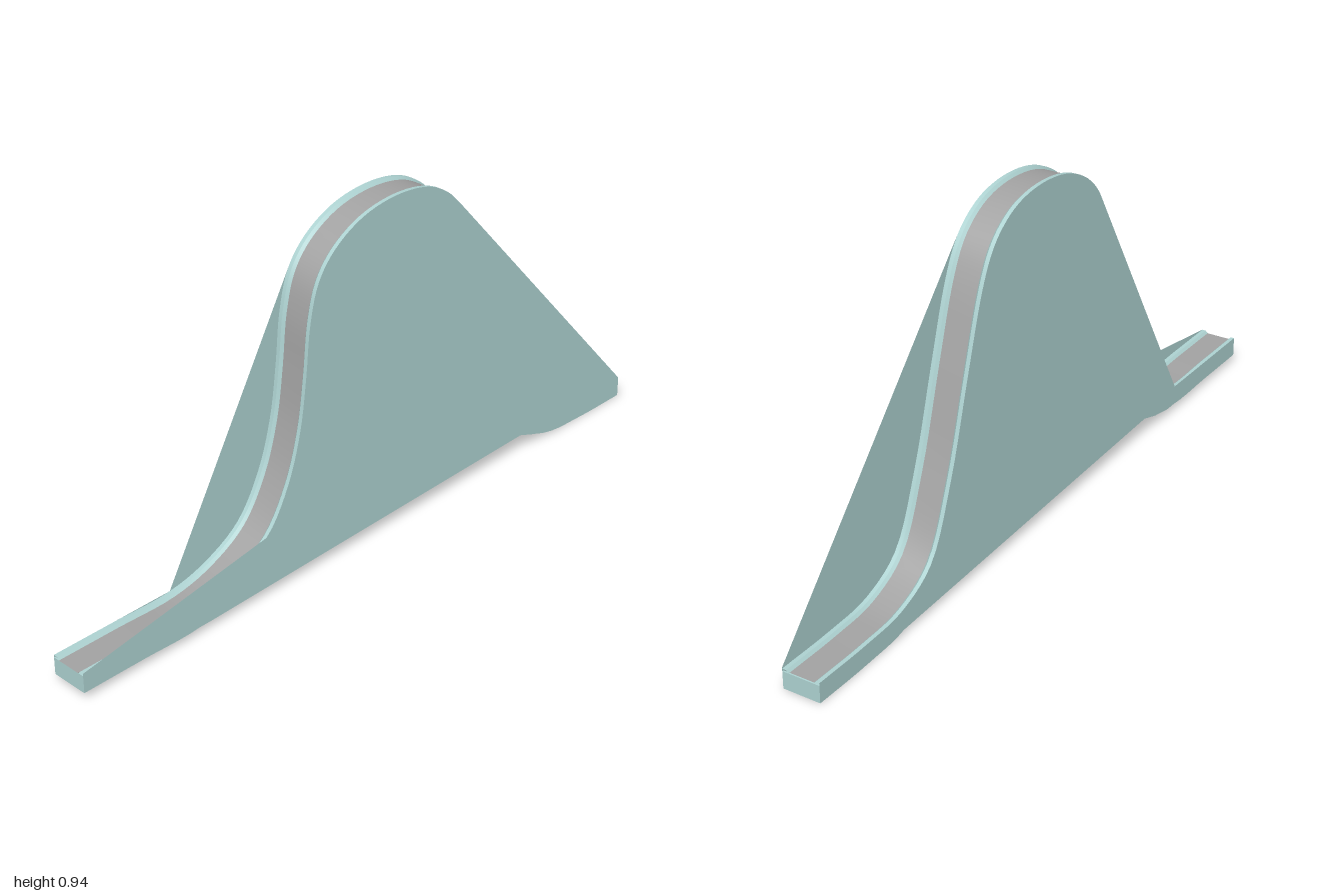
import * as THREE from 'three';

const W = 0.053;        // half width of the whole slide
const LIP = 0.042;      // inner edge of the rail top
const BED = 0.035;      // half width of the sliding surface
const DEPTH = 0.007;    // depth of the trough
const THICK = 0.055;    // thickness of the chute

// Side profile of the rail tops as [z, y], from the front end to the back end
const PROFILE = [
  [1, 0.075], [0.82, 0.075], [0.64, 0.075], [0.52, 0.105], [0.41, 0.17], [0.335, 0.285],
  [0.29, 0.42], [0.267, 0.56], [0.25, 0.7], [0.22, 0.8], [0.165, 0.867], [0.07, 0.92],
  [-0.05, 0.94], [-0.16, 0.927], [-0.23, 0.893], [-0.28, 0.845], [-0.325, 0.76],
  [-0.39, 0.565], [-0.47, 0.315], [-0.56, 0.13], [-0.68, 0.067], [-0.82, 0.055], [-1, 0.055],
];

export function createModel() {
  const group = new THREE.Group();
  const teal = new THREE.MeshStandardMaterial({ color: 0xaed3d2, side: THREE.DoubleSide });
  teal.name = 'pale teal';
  const grey = new THREE.MeshStandardMaterial({ color: 0xa3a3a3, side: THREE.DoubleSide });
  grey.name = 'grey';

  const curve = new THREE.CatmullRomCurve3(PROFILE.map(([z, y]) => new THREE.Vector3(0, y, z)), false, 'centripetal');
  const N = 110;
  const path = curve.getPoints(N);
  const tangents = path.map((_, i) => curve.getTangent(i / N));

  function add(name, geometry, material) {
    const mesh = new THREE.Mesh(geometry, material);
    mesh.name = name;
    group.add(mesh);
    return mesh;
  }

  // Strip along the profile between two points (x, drop below the rail top) of the cross-section
  function strip(name, xa, da, xb, db, material) {
    const pos = [], index = [];
    path.forEach((p, i) => {
      const t = tangents[i];
      for (const [x, d] of [[xa, da], [xb, db]]) pos.push(x, p.y + t.z * d, p.z - t.y * d);
      if (i < N) {
        const k = 2 * i;
        index.push(k, k + 1, k + 2, k + 1, k + 3, k + 2);
      }
    });
    const g = new THREE.BufferGeometry();
    g.setAttribute('position', new THREE.Float32BufferAttribute(pos, 3));
    g.setIndex(index);
    g.computeVertexNormals();
    add(name, g, material);
  }

  // Chute: sliding bed, rail tops, rail inner walls and underside
  strip('slidingBed', -BED, DEPTH, BED, DEPTH, grey);
  strip('leftRailTop', LIP, 0, W, 0, teal);
  strip('rightRailTop', -W, 0, -LIP, 0, teal);
  strip('leftRailWall', BED, DEPTH, LIP, 0, teal);
  strip('rightRailWall', -LIP, 0, -BED, DEPTH, teal);
  strip('underside', W, THICK, -W, THICK, teal);
  strip('leftChuteEdge', W, 0, W, THICK, teal);
  strip('rightChuteEdge', -W, THICK, -W, 0, teal);

  // Flat side panels, outlined in [z, y]
  const between = (zMax, zMin) => path.filter(p => p.z < zMax && p.z > zMin).map(p => [p.z, p.y]);
  function panel(name, x, outline) {
    const shape = new THREE.Shape(outline.map(([z, y]) => new THREE.Vector2(-z, y)));
    const g = new THREE.ShapeGeometry(shape);
    g.rotateY(Math.PI / 2);
    add(name, g, teal).position.x = x;
  }

  // Left panel spans straight across the back slope
  panel('leftSidePanel', W, [
    [1, 0.02], [1, 0.075], [0.412, 0.17], ...between(0.405, -0.275),
    [-0.285, 0.842], [-1, 0.058], [-1, 0], [-0.78, 0.006], [-0.68, 0.016],
    [-0.61, 0.032], [-0.56, 0.05], [0.6, 0.02],
  ]);
  // Right panel spans straight across the front slope
  panel('rightSidePanel', -W, [
    [1, 0.02], [1, 0.075], [0.64, 0.075], [0.222, 0.797], ...between(0.215, -0.995),
    [-1, 0.055], [-1, 0], [-0.75, 0.009], [0.47, 0.05], [0.53, 0.032], [0.6, 0.02],
  ]);

  // End caps
  for (const [name, z, y] of [['frontEndCap', 0.998, 0.02], ['backEndCap', -0.998, 0]]) {
    const h = THICK - DEPTH;
    add(name, new THREE.BoxGeometry(2 * W, h, 0.004), teal).position.set(0, y + h / 2, z);
  }
  return group;
}
